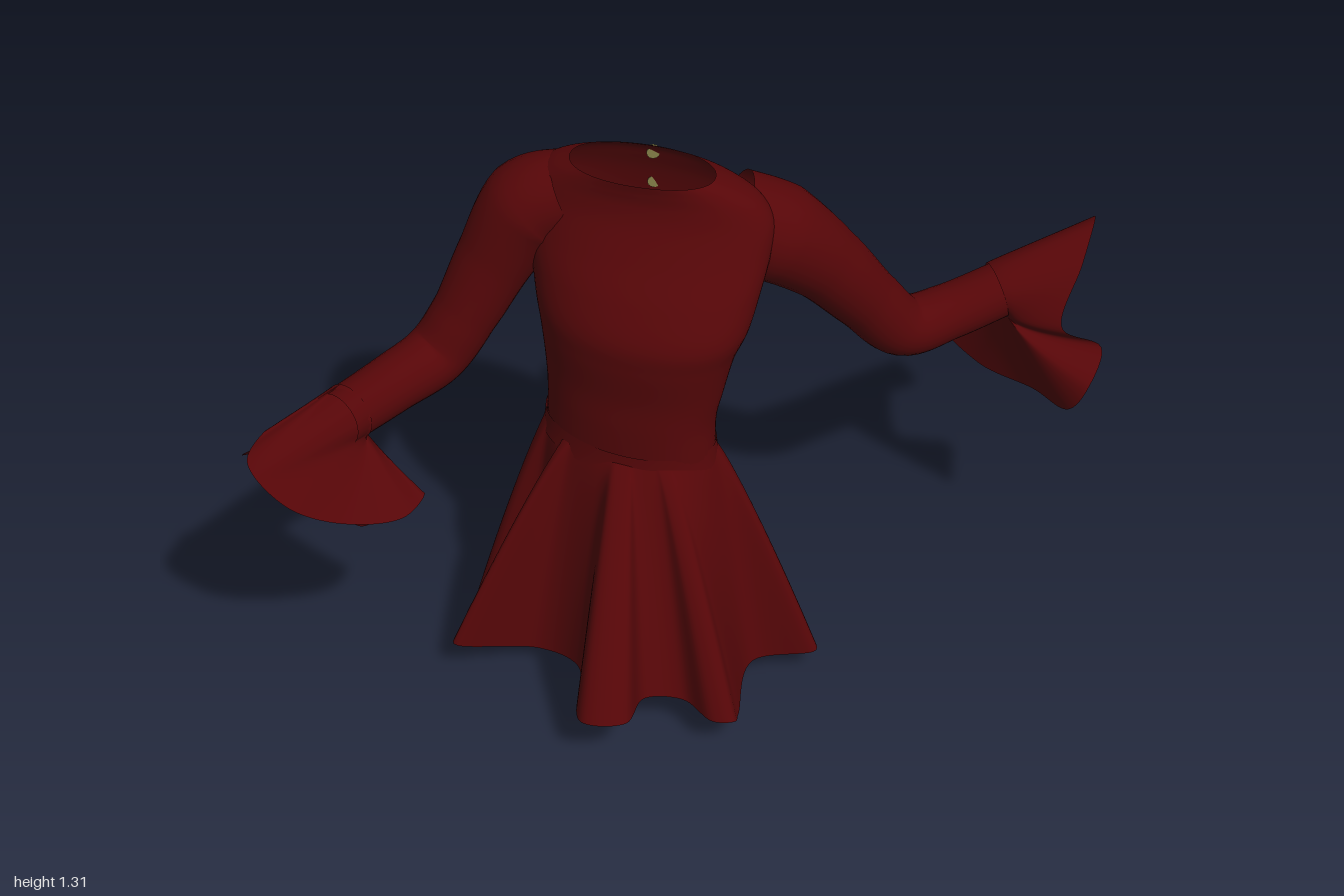
import * as THREE from 'three';

const V = (x, y, z) => new THREE.Vector3(x, y, z);
const fabric = new THREE.MeshStandardMaterial({ color: 0x560608, side: THREE.DoubleSide });
fabric.name = 'dark red fabric';
const metal = new THREE.MeshStandardMaterial({ color: 0x88834a });
metal.name = 'aged brass';

// The waist is an ellipse turned towards the left front
const waistU = V(Math.cos(0.48), 0, Math.sin(0.48));
const waistV = V(-Math.sin(0.48), 0, Math.cos(0.48));

// Skin a list of rings (equal point counts) into a smooth surface
function loft(rings, closed = true) {
  const n = rings[0].length, pos = [], idx = [];
  rings.forEach(r => r.forEach(p => pos.push(p.x, p.y, p.z)));
  for (let i = 0; i < rings.length - 1; i++) {
    for (let j = 0; j < (closed ? n : n - 1); j++) {
      const k = (j + 1) % n, a = i * n + j, b = i * n + k, c = a + n, d = b + n;
      idx.push(a, c, b, b, c, d);
    }
  }
  const g = new THREE.BufferGeometry();
  g.setAttribute('position', new THREE.Float32BufferAttribute(pos, 3));
  g.setIndex(idx);
  g.computeVertexNormals();
  return g;
}

function add(parent, name, geometry, material = fabric) {
  const m = new THREE.Mesh(geometry, material);
  m.name = name;
  parent.add(m);
  return m;
}

const onEllipse = (c, u, v, ru, rv, a) =>
  c.clone().addScaledVector(u, ru * Math.cos(a)).addScaledVector(v, rv * Math.sin(a));

// Cloth flaring from an elliptical opening to a wavy hem
function flare(center, u, v, ru, rv, hem, power, samples) {
  const curve = new THREE.CatmullRomCurve3(hem.map(p => V(...p)), true);
  const rows = 20, rings = [];
  const rim = curve.getSpacedPoints(samples).slice(0, samples);
  const start = rim.map(p => {
    const d = p.clone().sub(center);
    return onEllipse(center, u, v, ru, rv, Math.atan2(d.dot(v) / rv, d.dot(u) / ru));
  });
  const axis = u.clone().cross(v);
  for (let i = 0; i <= rows; i++) {
    const t = i / rows, s = Math.pow(t, power);
    rings.push(rim.map((p, j) => {
      // progress along the axis stays even while the width follows the power curve
      const along = p.clone().sub(start[j]).dot(axis);
      return start[j].clone().lerp(p, s).addScaledVector(axis, along * (t - s));
    }));
  }
  return loft(rings);
}

// Torso sections: y, centre x, half width, front z, back z
const sections = [
  [0.63, -0.11, 0.2, 0.182, -0.122], [0.72, -0.107, 0.2, 0.183, -0.135],
  [0.8, -0.1, 0.21, 0.185, -0.14], [0.9, -0.092, 0.227, 0.197, -0.16],
  [0.97, -0.082, 0.248, 0.198, -0.19], [1.05, -0.075, 0.265, 0.16, -0.21],
  [1.13, -0.07, 0.28, 0.108, -0.212], [1.2, -0.07, 0.285, 0.07, -0.205],
  [1.25, -0.075, 0.262, 0.053, -0.19], [1.285, -0.08, 0.215, 0.048, -0.172],
  [1.31, -0.082, 0.165, 0.048, -0.14],
];
const widths = new THREE.CatmullRomCurve3(sections.map(s => V(s[0], s[1], s[2])), false, 'catmullrom');
const depths = new THREE.CatmullRomCurve3(sections.map(s => V(s[0], s[3], s[4])), false, 'catmullrom');

function torso() {
  const rows = 110, n = 72, rings = [];
  for (let i = 0; i <= rows; i++) {
    const a = widths.getPoint(i / rows), b = depths.getPoint(i / rows);
    // oval opening in the back
    const h = a.x > 0.8 ? (a.x - 0.8) / 0.16 : (0.8 - a.x) / 0.15;
    const gap = h < 1 ? 1.0 * Math.sqrt(1 - h * h) : 0;
    // each section is sheared so that the body turns towards the left front
    const turn = THREE.MathUtils.mapLinear(a.x, 0.63, 1.31, 0.3, 0.2);
    const depth = Math.sqrt(((b.y - b.z) / 2) ** 2 - (turn * a.z) ** 2);
    const ring = [];
    for (let j = 0; j <= n; j++) {
      const t = -Math.PI / 2 + gap + (2 * Math.PI - 2 * gap) * j / n;
      const c = Math.cos(t), s = Math.sin(t), e = 0.92;
      const dx = a.z * Math.sign(c) * Math.abs(c) ** e;
      ring.push(V(a.y + dx, a.x, (b.y + b.z) / 2 + depth * Math.sign(s) * Math.abs(s) ** e + turn * dx));
    }
    rings.push(ring);
  }
  return loft(rings, false);
}

// Sleeve tube with a varying radius
function sleeve(points, radii) {
  const curve = new THREE.CatmullRomCurve3(points.map(p => V(...p)), false, 'catmullrom');
  const rows = 48, n = 28, rings = [], k = radii.length - 1;
  const up = V(0, 0, 1);
  for (let i = 0; i <= rows; i++) {
    const t = i / rows, f = Math.min(k - 1e-6, t * k), m = Math.floor(f);
    const r = THREE.MathUtils.lerp(radii[m], radii[m + 1], f - m);
    const c = curve.getPoint(t), d = curve.getTangent(t);
    const u = up.clone().addScaledVector(d, -up.dot(d)).normalize();
    up.copy(u);
    const v = d.clone().cross(u);
    rings.push(Array.from({ length: n }, (_, j) => onEllipse(c, u, v, r, r, j / n * Math.PI * 2)));
  }
  return loft(rings);
}

function cuff(wrist, axis, hem) {
  const d = V(...axis).normalize();
  const u = V(0, 1, 0).cross(d).normalize(), v = d.clone().cross(u);
  return flare(V(...wrist).addScaledVector(d, -0.03), u, v, 0.069, 0.069, hem, 0.7, 160);
}

export function createModel() {
  const g = new THREE.Group();
  g.name = 'dress';

  add(g, 'bodice', torso());

  // Waistband
  const band = [[0.6, 0.226, 0.143], [0.625, 0.221, 0.138], [0.655, 0.218, 0.135]];
  add(g, 'waistband', loft(band.map(([y, ru, rv]) => Array.from({ length: 64 }, (_, j) =>
    onEllipse(V(-0.11, y, 0.03), waistU, waistV, ru, rv, j / 32 * Math.PI)))));

  // Pleated skirt
  add(g, 'skirt', flare(V(-0.11, 0.635, 0.03), waistU, waistV, 0.215, 0.133, [
    [0.33, 0.07, 0.13], [0.34, 0.07, 0.17], [0.19, 0.05, 0.19], [0.16, 0.07, 0.4], [0.15, 0.1, 0.46],
    [0.1, 0.1, 0.46], [0.03, 0.1, 0.39], [-0.06, 0.12, 0.41], [-0.1, 0.14, 0.52],
    [-0.2, 0.14, 0.52], [-0.23, 0.08, 0.26], [-0.33, 0.05, 0.17], [-0.53, 0.1, 0.22], [-0.52, 0.1, 0.18],
    [-0.39, 0.05, 0.1], [-0.37, 0.05, 0.03], [-0.49, 0.06, -0.01], [-0.49, 0.06, -0.05],
    [-0.37, 0.05, -0.1], [-0.34, 0.05, -0.19], [-0.44, 0.06, -0.3], [-0.39, 0.05, -0.325],
    [-0.28, 0.04, -0.29], [-0.17, 0.03, -0.29], [-0.07, 0.03, -0.35], [0.0, 0.03, -0.345],
    [0.03, 0.02, -0.21], [0.09, 0.02, -0.15], [0.21, 0.03, -0.2], [0.22, 0.02, -0.15],
    [0.12, 0.0, -0.06], [0.21, 0.03, 0.0], [0.21, 0.05, 0.08],
  ], 0.85, 360));

  // Sleeves
  add(g, 'rightSleeve', sleeve([
    [-0.25, 1.195, -0.11], [-0.345, 1.15, -0.115], [-0.425, 1.015, -0.105], [-0.5, 0.87, -0.08],
    [-0.57, 0.77, -0.05], [-0.66, 0.755, 0.05], [-0.77, 0.76, 0.2],
  ], [0.1, 0.112, 0.092, 0.078, 0.076, 0.07, 0.066]));
  add(g, 'leftSleeve', sleeve([
    [0.12, 1.155, -0.08], [0.22, 1.11, -0.09], [0.33, 1.005, -0.13], [0.43, 0.87, -0.18],
    [0.52, 0.765, -0.22], [0.63, 0.77, -0.27], [0.78, 0.82, -0.32],
  ], [0.115, 0.118, 0.094, 0.08, 0.075, 0.068, 0.066]));

  // Ruffled cuffs
  add(g, 'rightCuff', cuff([-0.762, 0.76, 0.19], [-0.58, 0, 0.8], [
    [-0.91, 0.83, 0.34], [-0.94, 0.8, 0.41], [-0.86, 0.7, 0.44], [-0.74, 0.61, 0.39],
    [-0.61, 0.57, 0.31], [-0.57, 0.6, 0.26], [-0.66, 0.55, 0.24], [-0.7, 0.49, 0.24],
    [-0.75, 0.45, 0.2], [-0.81, 0.51, 0.17], [-0.84, 0.48, 0.1], [-0.9, 0.5, 0.08],
    [-0.89, 0.58, 0.16], [-0.98, 0.61, 0.15], [-1.0, 0.64, 0.19], [-0.92, 0.73, 0.25],
  ]));
  add(g, 'leftCuff', cuff([0.773, 0.818, -0.318], [0.9, 0.25, -0.3], [
    [0.97, 0.97, -0.38], [0.97, 0.92, -0.45], [0.94, 0.75, -0.47], [0.72, 0.62, -0.54],
    [0.63, 0.57, -0.51], [0.72, 0.51, -0.42], [0.85, 0.51, -0.32], [0.93, 0.54, -0.2],
    [0.97, 0.62, -0.18], [1.0, 0.69, -0.25], [0.9, 0.76, -0.23], [0.94, 0.9, -0.29],
  ]));

  // Back buttons
  [[1.265, -0.174], [1.17, -0.2], [1.075, -0.204], [0.985, -0.188]].forEach(([y, z], i) => {
    const b = add(g, 'backButton' + (i + 1), new THREE.CylinderGeometry(0.015, 0.015, 0.014, 12), metal);
    b.rotation.x = Math.PI / 2;
    b.position.set(-0.065, y, z);
  });

  // Zip pull on the waistband
  const zip = new THREE.Group();
  zip.name = 'zipPull';
  add(zip, 'zipSlider', new THREE.BoxGeometry(0.022, 0.025, 0.014), metal).position.y = 0.022;
  add(zip, 'zipTab', new THREE.BoxGeometry(0.014, 0.05, 0.008), metal).position.y = -0.014;
  zip.position.set(-0.1, 0.617, -0.13);
  g.add(zip);

  return g;
}
